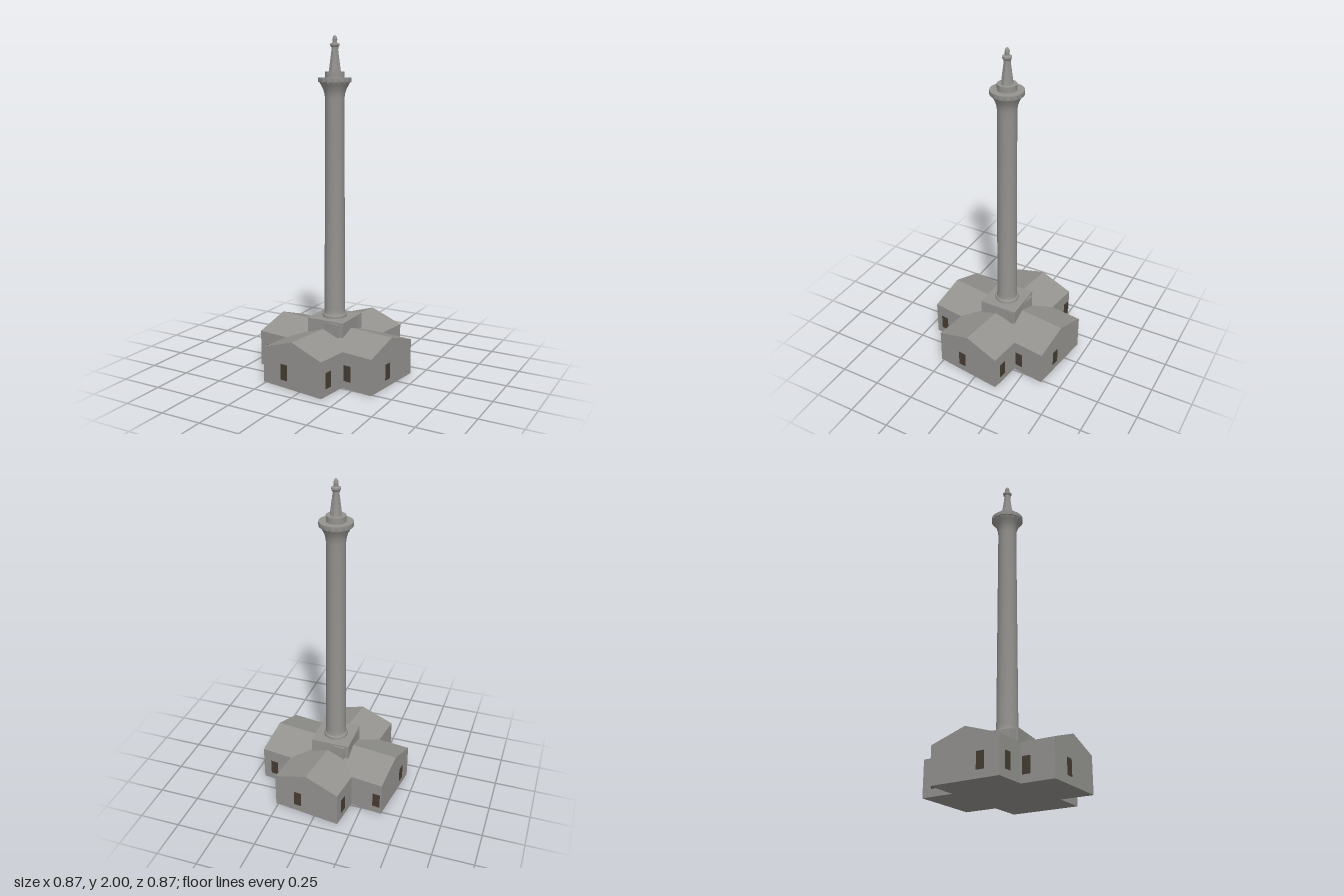
import * as THREE from 'three';
import { toCreasedNormals } from 'three/addons/utils/BufferGeometryUtils.js';

const stone = new THREE.MeshStandardMaterial({ color: 0x949390 });
stone.name = 'grey stone';
const glass = new THREE.MeshStandardMaterial({ color: 0x463d33 });
glass.name = 'dark window';

const HALF = 0.211, REACH = 0.411, EAVE = 0.215, RIDGE = 0.285;

function add(parent, name, geometry, material, x = 0, y = 0, z = 0) {
  const mesh = new THREE.Mesh(geometry, material);
  mesh.name = name;
  mesh.position.set(x, y, z);
  parent.add(mesh);
  return mesh;
}

// Turned part from [radius, height] pairs
function turned(points, sides, crease) {
  const lathe = new THREE.LatheGeometry(points.map(([r, y]) => new THREE.Vector2(r, y)), sides);
  return toCreasedNormals(lathe, crease);
}

// Gabled hall running the full length of the cross
function hallGeometry() {
  const s = new THREE.Shape();
  s.moveTo(-HALF, 0);
  s.lineTo(HALF, 0);
  s.lineTo(HALF, EAVE);
  s.lineTo(0, RIDGE);
  s.lineTo(-HALF, EAVE);
  s.closePath();
  const g = new THREE.ExtrudeGeometry(s, { depth: REACH * 2, bevelEnabled: false });
  return g.translate(0, 0, -REACH);
}

export function createModel() {
  const model = new THREE.Group();
  model.name = 'monumentColumn';

  // Cross-shaped building, turned slightly against the column
  const building = new THREE.Group();
  building.name = 'crossBuilding';
  building.rotation.y = -0.134;
  model.add(building);
  const hall = hallGeometry();
  add(building, 'hallFrontToBack', hall, stone);
  add(building, 'hallSideToSide', hall, stone).rotation.y = Math.PI / 2;
  add(building, 'roofBlock', new THREE.BoxGeometry(0.22, 0.1, 0.236), stone, 0, 0.278, 0);

  // Windows: x, z on the wall, and whether the wall faces along x
  const windows = [
    [-0.058, REACH, false], [0.058, -REACH, false],
    [REACH, 0.042, true], [-REACH, 0.097, true],
    [HALF, 0.347, true], [HALF, -0.245, true],
    [-HALF, -0.33, true], [-HALF, 0.245, true],
    [0.246, HALF, false], [0.335, -HALF, false],
    [-0.377, -HALF, false], [-0.335, HALF, false],
  ];
  const pane = new THREE.BoxGeometry(0.048, 0.095, 0.004);
  for (const [x, z, alongX] of windows) {
    add(building, 'window', pane, glass, x, 0.0925, z).rotation.y = alongX ? Math.PI / 2 : 0;
  }

  // Square plinth
  add(model, 'plinth', new THREE.BoxGeometry(0.24, 0.12, 0.236), stone, 0, 0.28, 0);

  // Column: moulded foot, tapering shaft, flared capital and round gallery
  add(model, 'column', turned([
    [0, 0.335], [0.073, 0.335], [0.075, 0.346], [0.072, 0.356], [0.066, 0.359],
    [0.063, 0.368], [0.062, 0.39], [0.056, 1.64], [0.06, 1.67], [0.068, 1.695],
    [0.08, 1.718], [0.09, 1.735], [0.097, 1.735], [0.097, 1.76], [0, 1.76],
  ], 32, 0.6), stone);

  // Drum carrying the figure
  add(model, 'drum', turned([[0, 1.755], [0.056, 1.755], [0.056, 1.795], [0, 1.795]], 24, 0.6), stone);

  // Eight-sided finial figure
  add(model, 'finial', turned([
    [0, 1.79], [0.037, 1.79], [0.034, 1.81], [0.02, 1.915], [0.021, 1.93],
    [0.028, 1.94], [0.028, 1.95], [0.013, 1.957], [0.015, 1.975], [0.011, 1.99], [0, 2],
  ], 8, 0.3), stone);

  return model;
}
